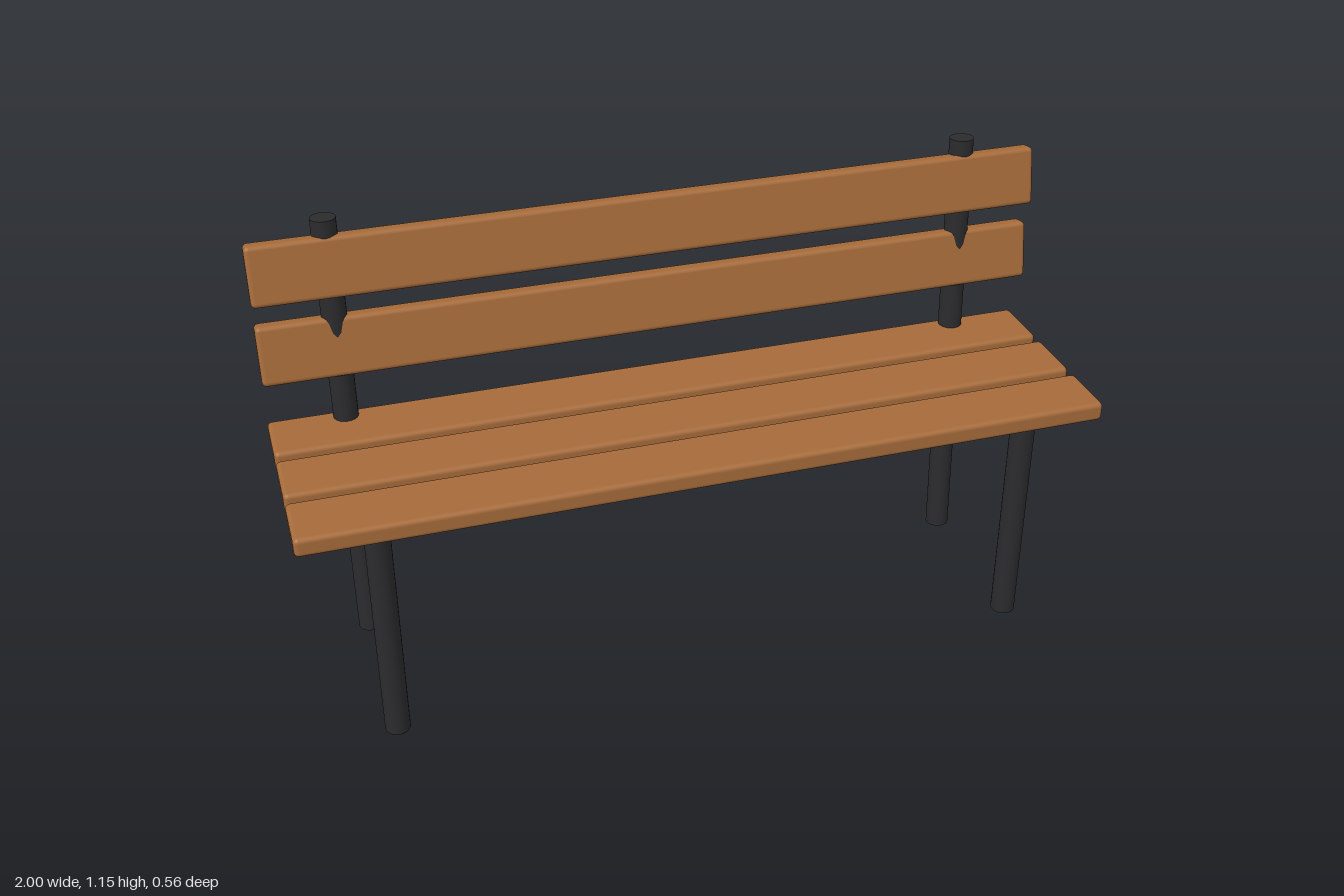
import * as THREE from 'three';
import { RoundedBoxGeometry } from 'three/addons/geometries/RoundedBoxGeometry.js';

export function createModel() {
  const wood = new THREE.MeshStandardMaterial({ color: 0xa66b3a });
  wood.name = 'warm wood';
  const metal = new THREE.MeshStandardMaterial({ color: 0x2b2b2d });
  metal.name = 'dark metal';

  const bench = new THREE.Group();
  bench.name = 'bench';

  // Full-length plank with softened edges
  function slat(name, depth, height, y, z, tilt = 0) {
    const mesh = new THREE.Mesh(new RoundedBoxGeometry(2, height, depth, 3, 0.012), wood);
    mesh.name = name;
    mesh.position.set(0, y, z);
    mesh.rotation.x = tilt;
    bench.add(mesh);
  }

  // Round tube between two points
  function pipe(name, radius, from, to) {
    const a = new THREE.Vector3(...from), b = new THREE.Vector3(...to);
    const dir = b.clone().sub(a);
    const mesh = new THREE.Mesh(new THREE.CylinderGeometry(radius, radius, dir.length(), 20), metal);
    mesh.name = name;
    mesh.position.copy(a).add(b).multiplyScalar(0.5);
    mesh.quaternion.setFromUnitVectors(new THREE.Vector3(0, 1, 0), dir.normalize());
    bench.add(mesh);
  }

  // Three seat planks
  [0.2, 0.013, -0.175].forEach((z, i) => slat(`seatSlat${i + 1}`, 0.161, 0.049, 0.603, z));

  // Two reclined backrest planks
  [0.827, 1.037].forEach((y, i) => slat(`backSlat${i + 1}`, 0.048, 0.15, y, -0.224, -0.175));

  // Frame on each side: front leg, leaning back post, seat rail
  for (const [side, x] of [['left', 0.81], ['right', -0.81]]) {
    pipe(`${side}FrontLeg`, 0.031, [x, 0, 0.225], [x, 0.59, 0.225]);
    pipe(`${side}BackPost`, 0.031, [x, 0.001, -0.2], [x, 1.151, -0.248]);
    pipe(`${side}SeatRail`, 0.024, [x, 0.577, 0.225], [x, 0.577, -0.224]);
  }
  return bench;
}
